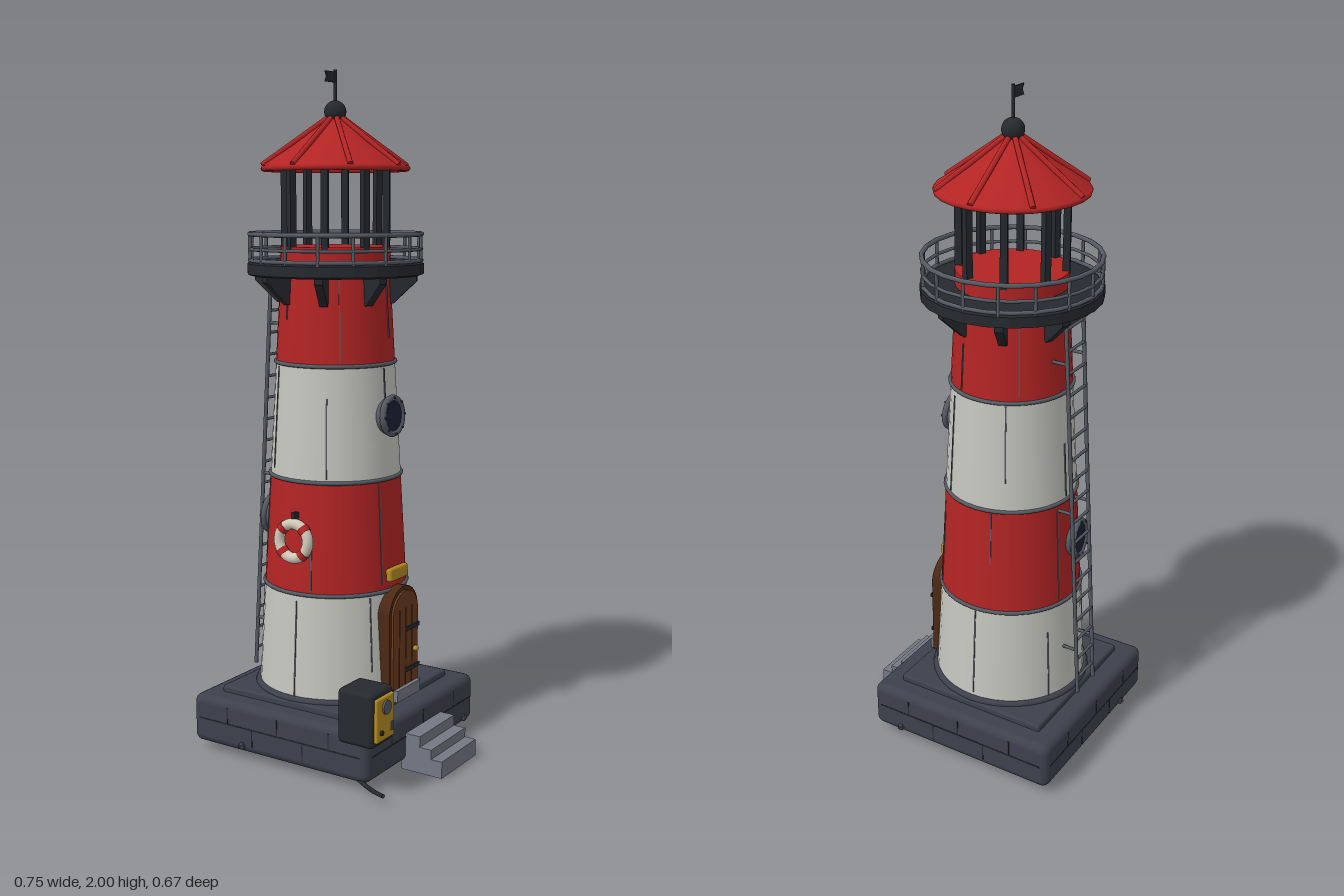
import * as THREE from 'three';
import { RoundedBoxGeometry } from 'three/addons/geometries/RoundedBoxGeometry.js';

const paint = (color) => new THREE.MeshStandardMaterial({ color, side: THREE.DoubleSide });
const RED = paint(0xb32424), WHITE = paint(0xc6c6c0), STONE = paint(0x3d414d), DARK = paint(0x26292e),
  STEEL = paint(0x555a63), STEP = paint(0x737884), WOOD = paint(0x6b3a1f), WOOD_DARK = paint(0x4c2814),
  BRASS = paint(0xb58c22), GLASS = paint(0x1b2038), CREAM = paint(0xd3c9b8);

const CX = -0.057, CZ = -0.016;
const wallRadius = (y) => 0.23 - (y - 0.2) * 0.0565;
const TILT = 0.0565;

function add(parent, name, geo, mat, pos = [0, 0, 0], rot = [0, 0, 0]) {
  const m = new THREE.Mesh(geo, mat);
  m.name = name;
  m.position.set(...pos);
  m.rotation.set(...rot);
  parent.add(m);
  return m;
}
const box = (w, h, d) => new THREE.BoxGeometry(w, h, d);
const cyl = (r, h, n = 12) => new THREE.CylinderGeometry(r, r, h, n);
const lathe = (pts, n) => new THREE.LatheGeometry(pts.map((p) => new THREE.Vector2(...p)), n);

// Straight round bar between two points
function bar(parent, name, a, b, r, mat) {
  const A = new THREE.Vector3(...a), B = new THREE.Vector3(...b);
  const m = add(parent, name, cyl(r, A.distanceTo(B), 8), mat);
  m.position.copy(A).add(B).multiplyScalar(0.5);
  m.quaternion.setFromUnitVectors(new THREE.Vector3(0, 1, 0), B.sub(A).normalize());
}
// Group whose +x axis points outward at the given angle
function spoke(parent, name, angle) {
  const g = new THREE.Group();
  g.name = name;
  g.rotation.y = angle;
  parent.add(g);
  return g;
}
// Group fixed to the sloping tower wall, +x outward
function onWall(parent, name, angle, y) {
  const g = new THREE.Group();
  g.name = name;
  g.position.set(wallRadius(y), y, 0);
  g.rotation.z = TILT;
  spoke(parent, name + 'Mount', angle).add(g);
  return g;
}
function arch(w, h, depth) {
  const s = new THREE.Shape();
  s.moveTo(-w / 2, 0);
  s.lineTo(w / 2, 0);
  s.lineTo(w / 2, h - w / 2);
  s.absarc(0, h - w / 2, w / 2, 0, Math.PI, false);
  s.lineTo(-w / 2, 0);
  return new THREE.ExtrudeGeometry(s, { depth, bevelEnabled: false, curveSegments: 12 });
}

function buildBase(root) {
  const g = new THREE.Group();
  g.name = 'base';
  g.position.set(CX, 0, CZ);
  root.add(g);
  add(g, 'plinth', new RoundedBoxGeometry(0.62, 0.147, 0.62, 3, 0.025), STONE, [0, 0.097, 0]);
  add(g, 'upperPlinth', new RoundedBoxGeometry(0.493, 0.04, 0.493, 2, 0.008), STONE, [0, 0.17, 0]);
  // Block joints on each side
  for (let i = 0; i < 4; i++) {
    const s = spoke(g, 'blockJoints', i * Math.PI / 2);
    add(s, 'joint', box(0.004, 0.004, 0.57), DARK, [0.309, 0.1, 0]);
    [-0.18, 0, 0.18].forEach((z) => add(s, 'joint', box(0.004, 0.05, 0.004), DARK, [0.309, 0.125, z]));
    [-0.09, 0.09].forEach((z) => add(s, 'joint', box(0.004, 0.05, 0.004), DARK, [0.309, 0.072, z]));
  }
  [[0.21, -0.31], [0.31, -0.246], [-0.31, 0.165], [-0.125, 0.31]].forEach(([x, z]) =>
    add(g, 'pebble', new THREE.DodecahedronGeometry(0.012), STONE, [x, 0.045, z]));
  // Three entrance steps
  [[0.3, 0.11], [0.338, 0.078], [0.373, 0.05]].forEach(([x, h]) =>
    add(root, 'step', box(x - 0.24, h, 0.204), STEP, [(x + 0.24) / 2, h / 2, CZ]));
}

function buildTower(t) {
  // Colour bands with a thin hoop at each joint
  const ys = [0.19, 0.505, 0.833, 1.165, 1.44];
  for (let i = 0; i < 4; i++) {
    const a = ys[i], b = ys[i + 1];
    add(t, 'towerBand', new THREE.CylinderGeometry(wallRadius(b), wallRadius(a), b - a, 40, 1, true),
      i % 2 ? RED : WHITE, [0, (a + b) / 2, 0]);
    add(t, 'hoop', new THREE.TorusGeometry(wallRadius(a) + 0.001, i ? 0.006 : 0.012, 8, 40), i ? STEEL : STONE,
      [0, a, 0], [Math.PI / 2, 0, 0]);
    // Narrow weather seams
    for (let k = 0; k < 6; k++) {
      const len = (b - a) * (0.5 + 0.2 * ((k * 2 + i) % 3));
      const y = k % 2 ? b - len / 2 - 0.01 : a + len / 2 + 0.01;
      add(onWall(t, 'seam', k * Math.PI / 3 + 0.55 + i * 0.21, y), 'seam', box(0.004, len, 0.004), STEEL);
    }
  }
  // Portholes
  [[0, 1.015], [Math.PI + 0.16, 0.685]].forEach(([angle, y]) => {
    const p = onWall(t, 'porthole', angle, y);
    add(p, 'portholeCollar', cyl(0.055, 0.03, 24), STEEL, [-0.003, 0, 0], [0, 0, Math.PI / 2]);
    add(p, 'portholeRim', new THREE.TorusGeometry(0.052, 0.01, 8, 24), STEEL, [0.014, 0, 0], [0, Math.PI / 2, 0]);
    add(p, 'portholeGlass', cyl(0.045, 0.006, 24), GLASS, [0.015, 0, 0], [0, 0, Math.PI / 2]);
    for (let i = 0; i < 8; i++) {
      const a = i * Math.PI / 4;
      add(p, 'bolt', new THREE.SphereGeometry(0.004, 6, 4), DARK, [0.024, 0.053 * Math.cos(a), 0.053 * Math.sin(a)]);
    }
  });
  // Lifebuoy on the front
  const l = onWall(t, 'lifebuoy', -Math.PI / 2, 0.662);
  add(l, 'buoyRing', new THREE.TorusGeometry(0.05, 0.016, 12, 32), CREAM, [0.016, 0, 0], [0, Math.PI / 2, 0]);
  for (let i = 0; i < 4; i++) {
    const s = new THREE.Group();
    s.rotation.x = i * Math.PI / 2 + Math.PI / 4;
    l.add(s);
    add(s, 'buoyStrap', cyl(0.0175, 0.018, 12), RED, [0.016, 0.05, 0], [Math.PI / 2, 0, 0]);
  }
  add(l, 'buoyHook', box(0.025, 0.018, 0.012), DARK, [0.01, 0.074, 0]);
}

function buildDoor(t) {
  const d = new THREE.Group();
  d.name = 'door';
  d.position.set(0, 0.18, 0);
  t.add(d);
  const turn = [0, Math.PI / 2, 0];
  add(d, 'doorFrame', arch(0.16, 0.335, 0.07), WOOD_DARK, [0.17, 0, 0], turn);
  add(d, 'doorLeaf', arch(0.14, 0.322, 0.012), WOOD, [0.235, 0, 0], turn);
  [-0.035, 0, 0.035].forEach((z) => add(d, 'plankGap', box(0.003, 0.26, 0.003), WOOD_DARK, [0.247, 0.14, z]));
  [0.08, 0.205].forEach((y) => add(d, 'hinge', box(0.006, 0.012, 0.075), DARK, [0.249, y, -0.035]));
  add(d, 'doorKnob', new THREE.SphereGeometry(0.009, 10, 8), BRASS, [0.255, 0.135, -0.045]);
  add(d, 'sill', box(0.09, 0.035, 0.13), STEP, [0.215, 0.017, 0]);
  add(onWall(t, 'plaque', 0, 0.552), 'plaque', new RoundedBoxGeometry(0.02, 0.04, 0.1, 2, 0.008), BRASS, [0.006, 0, 0]);
}

function buildGallery(t) {
  add(t, 'deck', lathe([[0.15, 1.415], [0.245, 1.415], [0.258, 1.42], [0.258, 1.45], [0.25, 1.456], [0, 1.456]], 24)
    .toNonIndexed(), DARK).geometry.computeVertexNormals();
  const s = new THREE.Shape([[0.15, 1.335], [0.172, 1.335], [0.24, 1.4], [0.24, 1.42], [0.15, 1.42]]
    .map((p) => new THREE.Vector2(...p)));
  const bracket = new THREE.ExtrudeGeometry(s, { depth: 0.024, bevelEnabled: false }).translate(0, 0, -0.012);
  for (let i = 0; i < 8; i++) add(spoke(t, 'bracketMount', (i + 0.5) * Math.PI / 4), 'bracket', bracket, DARK);
  // Railing
  [[1.535, 0.007], [1.492, 0.005], [1.46, 0.006]].forEach(([y, r]) =>
    add(t, 'rail', new THREE.TorusGeometry(0.251, r, 8, 24), STEEL, [0, y, 0], [Math.PI / 2, 0, 0]));
  for (let i = 0; i < 16; i++)
    add(spoke(t, 'railPostMount', i * Math.PI / 8), 'railPost', cyl(0.005, 0.085, 8), STEEL, [0.251, 1.493, 0]);
}

function buildLantern(t) {
  add(t, 'lanternWall', cyl(0.16, 0.05, 32), RED, [0, 1.475, 0]);
  for (let i = 0; i < 8; i++)
    add(spoke(t, 'lanternPostMount', (i + 0.5) * Math.PI / 4), 'lanternPost', box(0.02, 0.25, 0.02), DARK, [0.15, 1.615, 0]);
  add(t, 'roof', lathe([[0.2, 1.715], [0.212, 1.715], [0.212, 1.73], [0.12, 1.79], [0.02, 1.863]], 24), RED);
  add(t, 'eave', new THREE.TorusGeometry(0.208, 0.009, 8, 24), RED, [0, 1.722, 0], [Math.PI / 2, 0, 0]);
  for (let i = 0; i < 8; i++)
    bar(spoke(t, 'roofRibMount', i * Math.PI / 4), 'roofRib', [0.214, 1.73, 0], [0.02, 1.866, 0], 0.008, RED);
  // Finial, mast and flag
  add(t, 'finialCollar', cyl(0.024, 0.02, 16), DARK, [0, 1.86, 0]);
  add(t, 'finialBall', new THREE.SphereGeometry(0.032, 20, 14), DARK, [0, 1.882, 0]);
  add(t, 'mast', cyl(0.005, 0.1, 8), DARK, [0, 1.95, 0]);
  const f = new THREE.Shape([[0, 0], [0.052, 0], [0.044, 0.015], [0.052, 0.03], [0, 0.03]]
    .map((p) => new THREE.Vector2(...p)));
  add(t, 'flag', new THREE.ExtrudeGeometry(f, { depth: 0.005, bevelEnabled: false }), DARK,
    [0.0025, 1.964, 0], [0, -Math.PI / 2, 0]);
}

function buildLadder(root) {
  const g = new THREE.Group();
  g.name = 'ladder';
  root.add(g);
  const xAt = (y) => -0.325 + (y - 0.2) * 0.058;
  const z0 = -0.065, z1 = 0.033;
  [z0, z1].forEach((z) => {
    bar(g, 'ladderRail', [xAt(0.2), 0.2, z], [xAt(1.42), 1.42, z], 0.006, STEEL);
    [0.35, 0.81, 1.27].forEach((y) =>
      bar(g, 'standoff', [xAt(y), y, z], [CX - wallRadius(y) + 0.012, y, z], 0.005, STEEL));
  });
  for (let i = 0; i < 18; i++) {
    const y = 0.25 + i * 0.066;
    bar(g, 'rung', [xAt(y), y, z0], [xAt(y), y, z1], 0.0045, STEEL);
  }
}

function buildPowerBox(root) {
  const g = new THREE.Group();
  g.name = 'powerBox';
  g.position.set(0.234, 0.228, 0.273);
  root.add(g);
  add(g, 'housing', new RoundedBoxGeometry(0.116, 0.158, 0.114, 3, 0.014), DARK);
  add(g, 'panel', new RoundedBoxGeometry(0.014, 0.125, 0.092, 2, 0.005), BRASS, [0.06, 0, 0]);
  add(g, 'dial', cyl(0.02, 0.01, 20), STEEL, [0.068, 0.032, 0], [0, 0, Math.PI / 2]);
  add(g, 'button', cyl(0.007, 0.01, 10), DARK, [0.068, -0.035, 0.025], [0, 0, Math.PI / 2]);
  add(g, 'latch', box(0.01, 0.025, 0.01), STEEL, [0.066, -0.03, -0.03]);
  const path = new THREE.CatmullRomCurve3([[0.21, 0.035, 0.28], [0.25, 0.027, 0.295], [0.285, 0.026, 0.312], [0.325, 0.026, 0.325]]
    .map((p) => new THREE.Vector3(...p)));
  add(root, 'cable', new THREE.TubeGeometry(path, 16, 0.006, 8), DARK);
}

export function createModel() {
  const root = new THREE.Group();
  root.name = 'lighthouse';
  buildBase(root);
  const t = new THREE.Group();
  t.name = 'tower';
  t.position.set(CX, 0, CZ);
  root.add(t);
  [buildTower, buildDoor, buildGallery, buildLantern].forEach((build) => build(t));
  buildLadder(root);
  buildPowerBox(root);
  return root;
}
